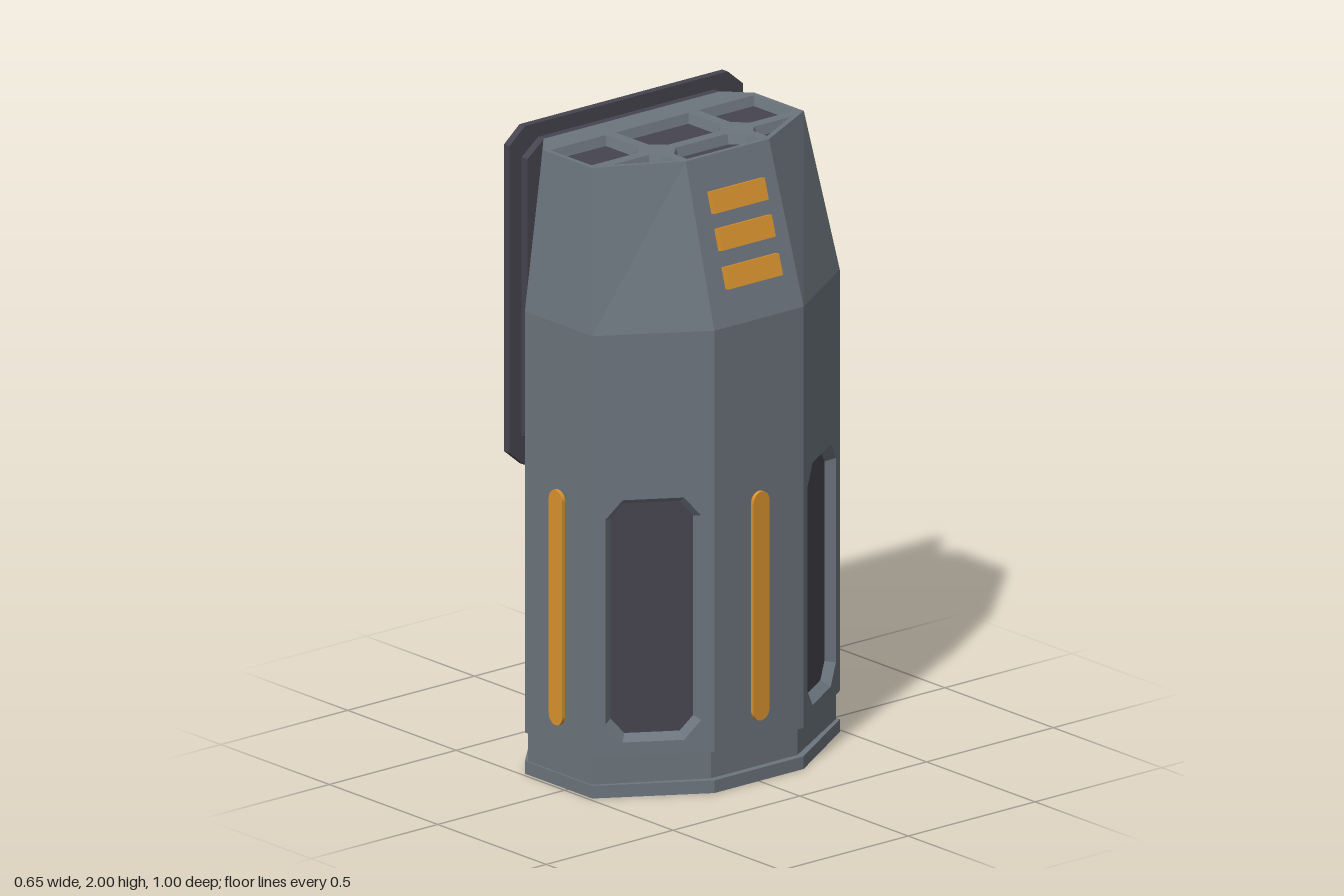
import * as THREE from 'three';

const V2 = (x, y) => new THREE.Vector2(x, y);
const V3 = (x, y, z) => new THREE.Vector3(x, y, z);

const mat = (name, color) => {
  const m = new THREE.MeshStandardMaterial({ color });
  m.name = name;
  return m;
};

// Flat-shaded geometry from a list of quads (four Vector3 each, counter-clockwise)
function quads(list) {
  const pts = list.flatMap(([a, b, c, d]) => [a, b, c, a, c, d]);
  const g = new THREE.BufferGeometry().setFromPoints(pts);
  g.computeVertexNormals();
  return g;
}

// Rectangle with cut corners, centred on the origin
function cutRect(w, h, cx, cy = cx) {
  const x = w / 2, y = h / 2;
  return [V2(-x + cx, -y), V2(x - cx, -y), V2(x, -y + cy), V2(x, y - cy),
    V2(x - cx, y), V2(-x + cx, y), V2(-x, y - cy), V2(-x, -y + cy)];
}

// Shrink a convex counter-clockwise polygon by a fixed distance
function inset(pts, d) {
  const n = pts.length;
  const normal = (a, b) => V2(a.y - b.y, b.x - a.x).normalize();
  return pts.map((p, i) => {
    const n1 = normal(pts[(i + n - 1) % n], p), n2 = normal(p, pts[(i + 1) % n]);
    return p.clone().addScaledVector(n1.clone().add(n2), d / (1 + n1.dot(n2)));
  });
}

export function createModel() {
  const model = new THREE.Group();
  const grey = mat('slateGrey', 0x6c757d);
  const dark = mat('darkPanel', 0x46444e);
  const amber = mat('amberTrim', 0xd9922f);

  const add = (parent, name, geo, material) => {
    const m = new THREE.Mesh(geo, material);
    m.name = name;
    parent.add(m);
    return m;
  };

  // Flat panel in its own plane (z outwards), with bevelled pockets and dark floors
  function pocketPanel(name, outline, pockets, depth, bevel) {
    const group = new THREE.Group();
    group.name = name;
    const face = new THREE.Shape(outline);
    const walls = [];
    for (const raw of pockets) {
      const p = THREE.ShapeUtils.isClockWise(raw) ? raw.slice().reverse() : raw;
      const q = inset(p, bevel);
      face.holes.push(new THREE.Path(p));
      p.forEach((a, i) => {
        const j = (i + 1) % p.length;
        walls.push([V3(a.x, a.y, 0), V3(p[j].x, p[j].y, 0),
          V3(q[j].x, q[j].y, -depth), V3(q[i].x, q[i].y, -depth)]);
      });
      add(group, name + 'Floor', new THREE.ShapeGeometry(new THREE.Shape(q)), dark).position.z = -depth;
    }
    add(group, name + 'Face', new THREE.ShapeGeometry(face), grey);
    add(group, name + 'Bevels', quads(walls), grey);
    model.add(group);
    return group;
  }

  // Eight-sided body: half outlines as [x, z], mirrored across z
  const mirror = (h) => [...h, ...h.map(([x, z]) => [x, -z]).reverse()];
  const full = mirror([[-0.275, 0.41], [-0.197, 0.488], [0.114, 0.488], [0.312, 0.176]]);
  const neck = mirror([[-0.255, 0.405], [-0.19, 0.482], [0.104, 0.482], [0.29, 0.17]]);
  const crown = mirror([[-0.275, 0.348], [-0.197, 0.418], [0.03, 0.418], [0.166, 0.164]]);
  const rings = [[full, 0], [full, 0.04], [neck, 0.04], [neck, 0.13], [full, 0.13], [full, 1.46], [crown, 1.955]];
  const sides = [];
  for (let r = 0; r < rings.length - 1; r++) {
    const [lo, y0] = rings[r], [hi, y1] = rings[r + 1];
    for (let i = 0; i < 8; i++) {
      if (r === 4 && (i === 2 || i === 4)) continue; // window panels go here
      const j = (i + 1) % 8;
      sides.push([V3(lo[i][0], y0, lo[i][1]), V3(lo[j][0], y0, lo[j][1]),
        V3(hi[j][0], y1, hi[j][1]), V3(hi[i][0], y1, hi[i][1])]);
    }
  }
  add(model, 'body', quads(sides), grey);
  const under = new THREE.ShapeGeometry(new THREE.Shape(full.map(([x, z]) => V2(x, z))));
  add(model, 'underside', under.rotateX(Math.PI / 2), grey);

  // Recessed windows on the two slanted front faces
  for (const i of [2, 4]) {
    const [ax, az] = full[i], [bx, bz] = full[i + 1];
    const w = Math.hypot(bx - ax, bz - az);
    const outline = [V2(0, 0.13), V2(w, 0.13), V2(w, 1.46), V2(0, 1.46)];
    const win = cutRect(0.29, 0.765, 0.052, 0.06).map((p) => p.add(V2(w / 2, 0.555)));
    const panel = pocketPanel(i === 2 ? 'leftWindow' : 'rightWindow', outline, [win], 0.03, 0.02);
    panel.position.set(ax, 0, az);
    panel.rotation.y = Math.atan2(az - bz, bx - ax);
  }

  // Top with six pockets
  const c = 0.042;
  const corner = [V2(-0.18, 0.182), V2(0.01 - c, 0.182), V2(0.01, 0.182 + c), V2(0.01, 0.402), V2(-0.18, 0.402)];
  const wedge = [V2(0.047, 0.208), V2(0.075, 0.18), V2(0.14, 0.18), V2(0.047, 0.35)];
  const flip = (pts) => pts.map((p) => V2(p.x, -p.y));
  const middle = [V2(-0.18, -0.144), V2(0.01 - c, -0.144), V2(0.01, -0.144 + c),
    V2(0.01, 0.144 - c), V2(0.01 - c, 0.144), V2(-0.18, 0.144)];
  const front = [V2(0.047 + c, -0.144), V2(0.15, -0.144), V2(0.15, 0.144),
    V2(0.047 + c, 0.144), V2(0.047, 0.144 - c), V2(0.047, -0.144 + c)];
  const top = pocketPanel('top', crown.map(([x, z]) => V2(x, -z)),
    [corner, flip(corner), wedge, flip(wedge), middle, front], 0.03, 0.01);
  top.rotation.x = -Math.PI / 2;
  top.position.y = 1.955;

  // Back plate and the spacer behind it
  const slab = (name, w, y0, y1, cx, cy, x0, t) => {
    const g = new THREE.ExtrudeGeometry(new THREE.Shape(cutRect(w, y1 - y0, cx, cy)), { depth: t, bevelEnabled: false });
    const m = add(model, name, g, dark);
    m.rotation.y = Math.PI / 2;
    m.position.set(x0, (y0 + y1) / 2, 0);
  };
  slab('backPlate', 0.92, 0.93, 2.0, 0.06, 0.05, -0.325, 0.025);
  slab('plateSpacer', 0.825, 0.975, 1.955, 0.065, 0.05, -0.3, 0.027);

  // Upright rounded light strips on the sides and front
  const strip = (name, y0, y1, x, z, turn) => {
    const r = 0.031, s = new THREE.Shape();
    s.absarc(0, y1 - r, r, 0, Math.PI);
    s.absarc(0, y0 + r, r, Math.PI, Math.PI * 2);
    const g = new THREE.ExtrudeGeometry(s, { depth: 0.022, bevelEnabled: false, curveSegments: 8 });
    const m = add(model, name, g, amber);
    m.position.set(x, 0, z);
    m.rotation.y = turn;
  };
  strip('leftStrip', 0.195, 0.937, -0.042, 0.478, 0);
  strip('rightStrip', 0.195, 0.937, -0.042, -0.478, Math.PI);
  strip('frontStrip', 0.195, 0.917, 0.302, 0, Math.PI / 2);

  // Three tilted bars on the upper front slope
  const tilt = Math.atan2(0.146, 0.495);
  for (const y of [1.822, 1.713, 1.6]) {
    const bar = add(model, 'frontBar', new THREE.BoxGeometry(0.036, 0.068, 0.21), amber);
    bar.position.set(0.312 - (y - 1.46) * Math.tan(tilt) + 0.003, y, 0);
    bar.rotation.z = tilt;
  }
  return model;
}
